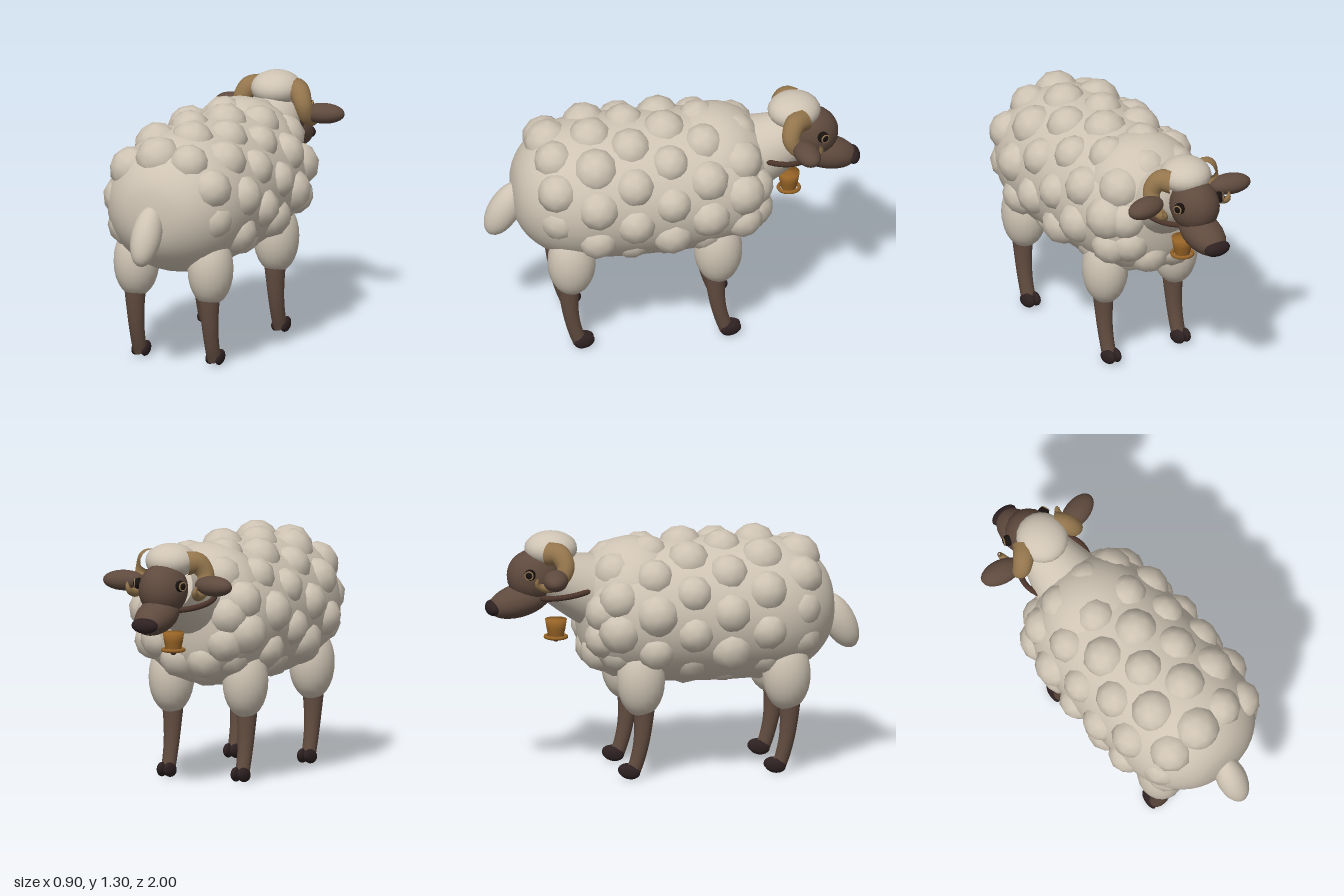
import * as THREE from 'three';

const mat = (name, color, side = THREE.FrontSide) => {
  const m = new THREE.MeshStandardMaterial({ color, side });
  m.name = name;
  return m;
};

export function createModel() {
  const wool = mat('wool', 0xcfc4b4);
  const skin = mat('brown skin', 0x5f4a3e);
  const dark = mat('dark hoof', 0x2e2122);
  const horn = mat('horn', 0x94764d);
  const brass = mat('brass', 0x966326, THREE.DoubleSide);
  const leather = mat('leather', 0x4d362c);
  const black = mat('eye black', 0x17110f);
  const model = new THREE.Group();
  model.name = 'sheep';

  const add = (name, geo, material, pos = [0, 0, 0], rot = [0, 0, 0], parent = model) => {
    const mesh = new THREE.Mesh(geo, material);
    mesh.name = name;
    mesh.position.set(...pos);
    mesh.rotation.set(...rot);
    parent.add(mesh);
    return mesh;
  };
  const ellipsoid = (name, material, pos, radii, rot, parent) =>
    add(name, new THREE.SphereGeometry(1, 20, 14), material, pos, rot, parent).scale.set(...radii);

  // Tube whose radius follows a rule along its length
  const taperedTube = (points, radiusAt, segs = 20, sides = 14) => {
    const curve = new THREE.CatmullRomCurve3(points.map((p) => new THREE.Vector3(...p)));
    const geo = new THREE.TubeGeometry(curve, segs, 1, sides);
    const pos = geo.attributes.position;
    const v = new THREE.Vector3();
    for (let i = 0; i <= segs; i++) {
      const c = curve.getPointAt(i / segs);
      for (let j = 0; j <= sides; j++) {
        const k = i * (sides + 1) + j;
        v.fromBufferAttribute(pos, k).sub(c).multiplyScalar(radiusAt(i / segs)).add(c);
        pos.setXYZ(k, v.x, v.y, v.z);
      }
    }
    return geo;
  };

  // Body: a turned barrel lying along z, profile as [radius, z]
  const bodyY = 0.855;
  const profile = [[0, -0.51], [0.16, -0.49], [0.27, -0.43], [0.335, -0.33], [0.372, -0.15], [0.385, 0.1],
    [0.385, 0.35], [0.37, 0.55], [0.325, 0.68], [0.245, 0.78], [0.14, 0.84], [0, 0.86]];
  const bodyCurve = new THREE.SplineCurve(profile.map(([r, z]) => new THREE.Vector2(r, z)));
  const bodyPoints = bodyCurve.getPoints(36).map((p) => new THREE.Vector2(Math.max(p.x, 0), p.y));
  const bodyGeo = new THREE.LatheGeometry(bodyPoints, 32).rotateX(Math.PI / 2).scale(1.03, 0.985, 1);
  add('body', bodyGeo, wool, [0, bodyY, 0]);
  ellipsoid('shoulders', wool, [0, 0.955, -0.22], [0.32, 0.3, 0.3]);

  // Wool tufts: staggered rings of low-poly balls sunk into the body
  const radiusAtZ = (z) => {
    let i = 1;
    while (i < profile.length - 1 && profile[i][1] < z) i++;
    const [r0, z0] = profile[i - 1], [r1, z1] = profile[i];
    return r0 + (r1 - r0) * (z - z0) / (z1 - z0);
  };
  let seed = 7;
  const rand = () => (seed = (seed * 16807) % 2147483647) / 2147483647;
  const fleece = new THREE.Group();
  fleece.name = 'fleece';
  model.add(fleece);
  const tuftGeo = new THREE.IcosahedronGeometry(1, 1);
  const tuft = (z, angle, size, height) => {
    const r = radiusAtZ(z);
    const slope = (radiusAtZ(z + 0.02) - radiusAtZ(z - 0.02)) / 0.04;
    const normal = new THREE.Vector3(Math.sin(angle), Math.cos(angle), -slope).normalize();
    const mesh = add('tuft', tuftGeo, wool,
      [Math.sin(angle) * r * 1.03, bodyY + Math.cos(angle) * r * 0.985, z],
      [rand() * 6, rand() * 6, 0], fleece);
    mesh.position.addScaledVector(normal, height - size);
    mesh.scale.setScalar(size);
  };
  const deg = Math.PI / 180;
  [0.67, 0.45, 0.25, 0.05, -0.15, -0.36].forEach((z, ring) => {
    for (let k = 0; k < 10; k++) {
      const angle = ((ring % 2 ? 8 : -10) + 36 * k) * deg;
      const up = Math.cos(angle);
      if (ring === 0 && up < -0.55) continue;
      const size = 0.105 + rand() * 0.02;
      // tufts sink away on the belly and the lower rump
      const height = up < -0.75 ? 0.016 : up < -0.6 || (ring === 0 && up < 0.2) ? 0.026 : size * 0.53;
      tuft(z, angle, size, height);
    }
  });
  for (let k = 0; k < 6; k++) tuft(-0.45, (78 + 41 * k) * deg, 0.11, 0.05); // chest
  tuft(0.69, -9 * deg, 0.125, 0.068); // rump

  // Tail
  ellipsoid('tail', wool, [0, 0.757, 0.892], [0.08, 0.166, 0.086], [-0.5, 0, 0]);

  // Legs
  for (const [end, z] of [['rear', 0], ['front', -0.78]]) {
    for (const s of [1, -1]) {
      const leg = new THREE.Group();
      leg.name = `${end}${s > 0 ? 'Left' : 'Right'}Leg`;
      leg.position.set(s * 0.217, 0, z);
      model.add(leg);
      ellipsoid('thigh', wool, [0, 0.53, 0.57], [0.12, 0.195, 0.128], [0, 0, 0], leg);
      add('shin', taperedTube([[0, 0.42, 0.585], [0, 0.33, 0.585], [0, 0.2, 0.573], [0, 0.1, 0.55], [0, 0.03, 0.525]],
        (t) => 0.062 - 0.05 * t + 0.026 * t * t), skin, [0, 0, 0], [0, 0, 0], leg);
      for (const h of [1, -1]) {
        ellipsoid('hoof', dark, [h * 0.023, 0.042, 0.505], [0.023, 0.038, 0.056], [0.2, h * 0.12, 0], leg);
      }
    }
  }

  // Neck, skull, muzzle and wool cap
  add('neck', taperedTube([[0, 0.95, -0.32], [0, 1.0, -0.48], [0, 1.07, -0.66]],
    (t) => 0.23 - 0.1 * t, 16, 24), wool);
  ellipsoid('skull', skin, [0, 1.07, -0.74], [0.128, 0.14, 0.145]);
  ellipsoid('muzzle', skin, [0, 0.94, -0.815], [0.105, 0.088, 0.175], [-0.27, 0, 0]);
  ellipsoid('nose', dark, [0, 0.905, -0.96], [0.075, 0.042, 0.04], [-0.3, 0, 0]);
  ellipsoid('woolCap', wool, [0, 1.212, -0.65], [0.135, 0.092, 0.14]);

  // Ears, eyes and horns
  for (const s of [1, -1]) {
    ellipsoid('ear', skin, [s * 0.262, 1.095, -0.675], [0.115, 0.054, 0.066], [0, s * 0.22, 0]);
    ellipsoid('eye', black, [s * 0.122, 1.1, -0.785], [0.03, 0.03, 0.03]);
    add('eyeRing', new THREE.TorusGeometry(0.021, 0.004, 8, 20), horn,
      [s * 0.141, 1.1, -0.794], [0, s * 2, 0]);
    add('horn', taperedTube([[0.1, 1.205, -0.675], [0.145, 1.205, -0.63], [0.18, 1.145, -0.605],
      [0.185, 1.075, -0.635], [0.185, 1.04, -0.7], [0.195, 1.06, -0.76], [0.205, 1.1, -0.757]]
      .map(([x, y, z]) => [s * x, y, z]), (t) => 0.06 * (1 - t) ** 0.75 + 0.004, 30), horn);
  }

  // Collar and bell
  add('collar', new THREE.TorusGeometry(0.185, 0.015, 10, 36), leather, [0, 0.995, -0.55], [Math.PI / 2 - 0.2, 0, 0]);
  const bell = new THREE.Group();
  bell.name = 'bell';
  bell.position.set(0, 0, -0.622);
  model.add(bell);
  const cup = [[0, 0.83], [0.058, 0.83], [0.05, 0.78], [0.04, 0.735]].map(([r, y]) => new THREE.Vector2(r, y));
  add('bellCup', new THREE.LatheGeometry(cup, 20), brass, [0, 0, 0], [0, 0, 0], bell);
  add('bellRim', new THREE.TorusGeometry(0.055, 0.01, 8, 24), brass, [0, 0.735, 0], [Math.PI / 2, 0, 0], bell);
  ellipsoid('clapper', leather, [0, 0.725, 0], [0.018, 0.018, 0.018], [0, 0, 0], bell);

  return model;
}
